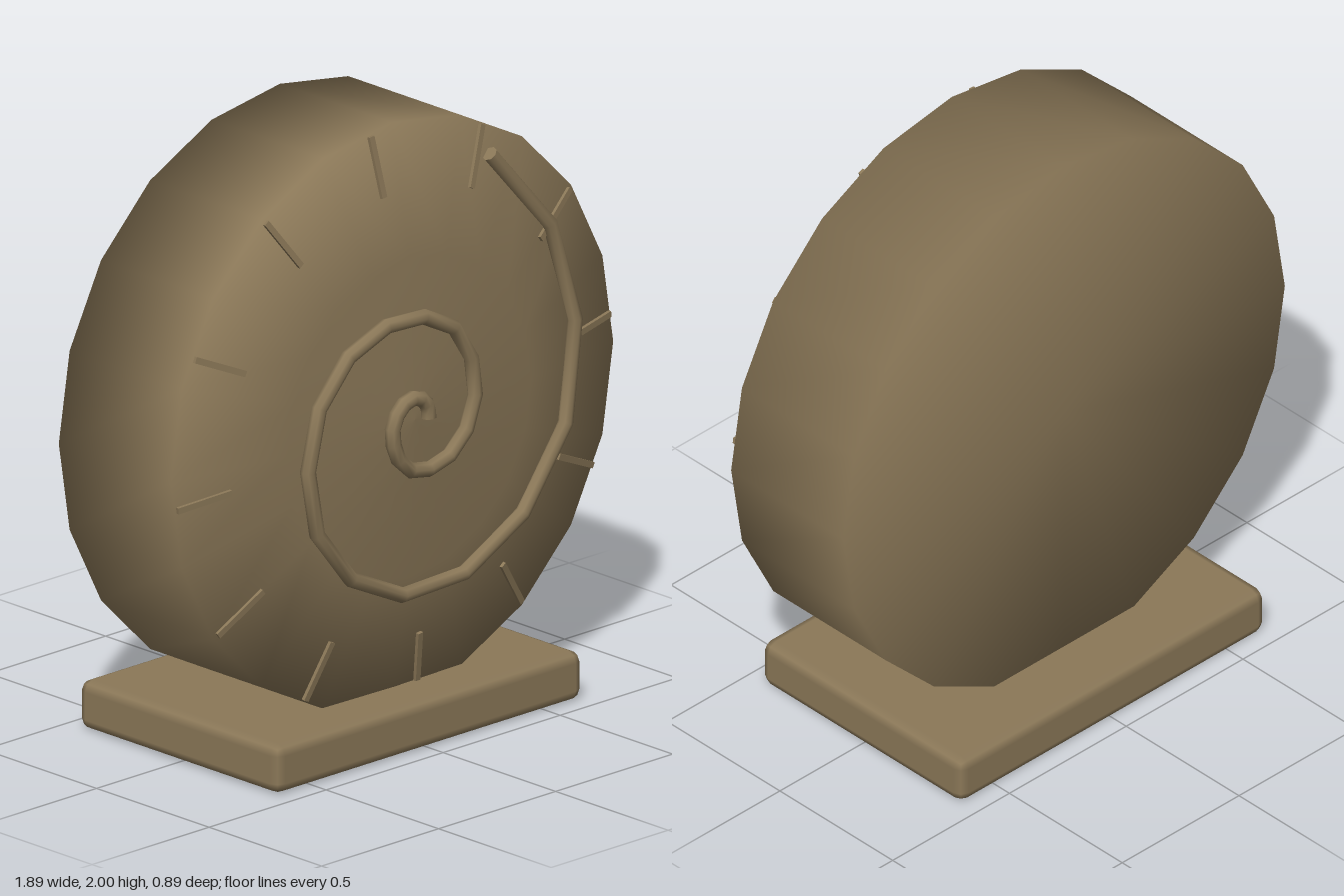
import * as THREE from 'three';
import { RoundedBoxGeometry } from 'three/addons/geometries/RoundedBoxGeometry.js';

const CENTER_Y = 1.055;
const RIM = 0.945;

// Front surface height at a given distance from the disc centre
const faceZ = (r) => (r > 0.52 ? 0.35 - ((r - 0.52) / (RIM - 0.52)) * 0.077 : 0.375 - (r / 0.52) * 0.025);

export function createModel() {
  const group = new THREE.Group();
  const stone = new THREE.MeshStandardMaterial({ color: 0x8b7858 });
  stone.name = 'sandstone';
  const add = (name, geometry, parent = group) => {
    const mesh = new THREE.Mesh(geometry, stone);
    mesh.name = name;
    parent.add(mesh);
    return mesh;
  };

  // Chamfered plinth
  add('base', new RoundedBoxGeometry(1.31, 0.16, 0.89, 1, 0.035)).position.y = 0.08;

  // Twenty-sided disc: flat back, straight rim, gently domed front
  const profile = [[0, -0.225], [RIM, -0.225], [RIM, 0.273], [0.52, faceZ(0.52)], [0, faceZ(0)]];
  const disc = new THREE.LatheGeometry(profile.map(([r, z]) => new THREE.Vector2(r, z)), 20);
  disc.rotateX(Math.PI / 2);
  add('shellDisc', disc).position.y = CENTER_Y;

  // Raised spiral, evenly spaced by angle and following the dome
  const radii = [0.85, 0.79, 0.745, 0.71, 0.655, 0.61, 0.57, 0.53, 0.495, 0.455, 0.425, 0.39, 0.355, 0.33, 0.31, 0.28,
    0.255, 0.23, 0.205, 0.18, 0.16, 0.135, 0.115, 0.105, 0.095, 0.088, 0.08, 0.07, 0.06, 0.05, 0.045];
  const points = radii.map((r, i) => {
    const a = THREE.MathUtils.degToRad(63 - i * 26.1);
    return new THREE.Vector3(r * Math.cos(a), r * Math.sin(a), faceZ(r) + 0.015);
  });
  const curve = new THREE.CatmullRomCurve3(points);
  curve.getPointAt = (u, target) => curve.getPoint(u, target);
  curve.getTangentAt = (u, target) => curve.getTangent(u, target);
  const spiral = new THREE.Group();
  spiral.name = 'spiral';
  spiral.position.y = CENTER_Y;
  group.add(spiral);
  add('spiralRidge', new THREE.TubeGeometry(curve, radii.length - 1, 0.025, 8), spiral);
  for (const [u, sign] of [[0, -1], [1, 1]]) {
    const cap = add('spiralEnd', new THREE.CircleGeometry(0.025, 8), spiral);
    cap.position.copy(curve.getPoint(u));
    cap.quaternion.setFromUnitVectors(new THREE.Vector3(0, 0, 1), curve.getTangent(u).multiplyScalar(sign));
  }

  // Twelve radial ribs lying along the slope near the rim
  const ribs = new THREE.Group();
  ribs.name = 'ribs';
  ribs.position.y = CENTER_Y;
  group.add(ribs);
  const slope = Math.atan2(faceZ(0.73) - faceZ(0.93), 0.2);
  for (let i = 0; i < 12; i++) {
    const rib = new THREE.BoxGeometry(0.2, 0.02, 0.02);
    rib.rotateY(slope);
    rib.translate(0.83, 0, faceZ(0.83));
    rib.rotateZ(THREE.MathUtils.degToRad(6 + i * 30));
    add('rib', rib, ribs);
  }
  return group;
}
